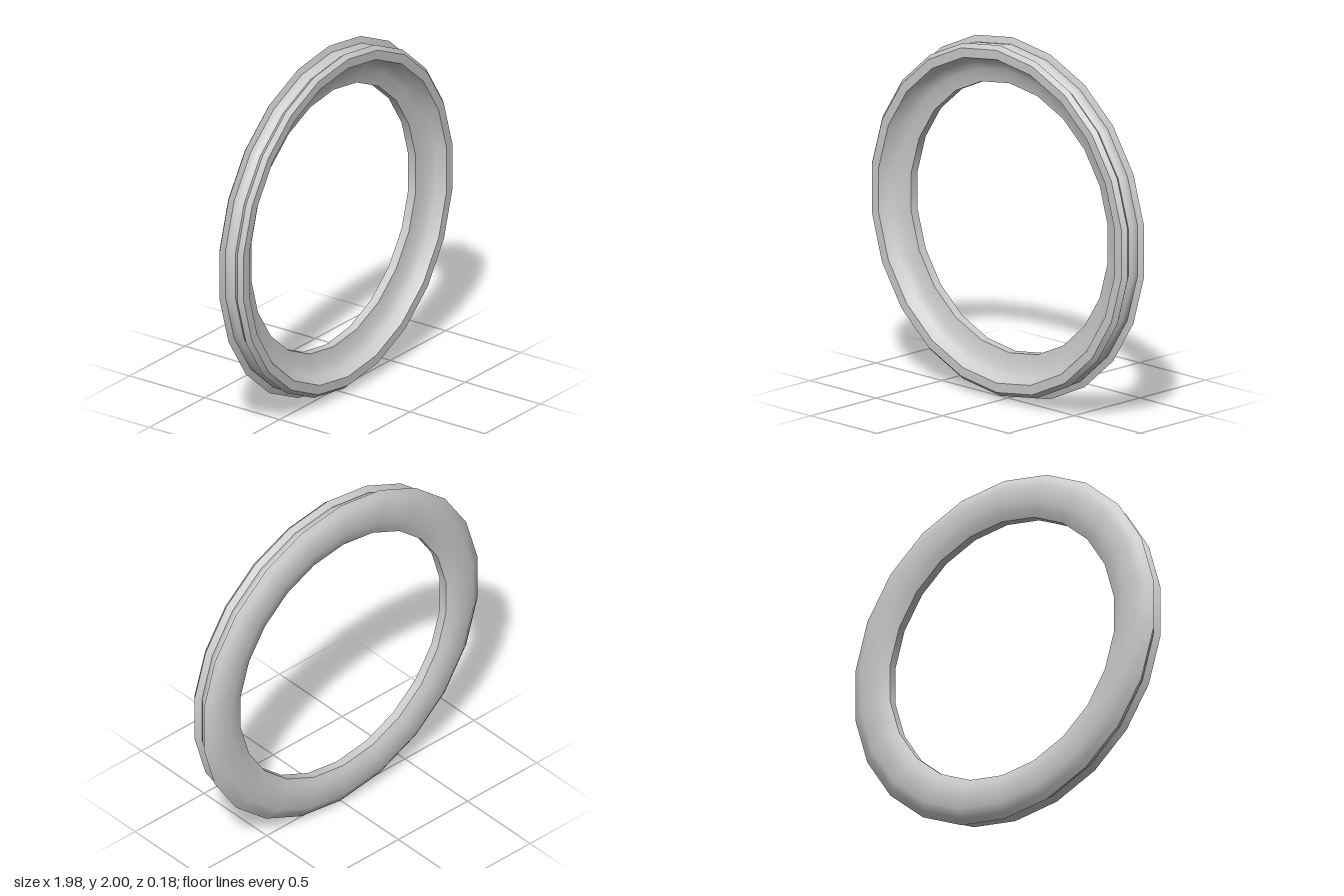
import * as THREE from 'three';

const SIDES = 22;

// Each band is one smooth strip of the ring's section as [radius, z];
// band boundaries are the sharp edges.
const BANDS = {
  backFace: [[0.75, -0.06], [0.79, -0.078], [0.84, -0.089], [0.925, -0.089], [0.97, -0.06], [1, -0.038]],
  rearFlangeFront: [[1, -0.038], [0.964, -0.025]],
  groove: [[0.964, -0.025], [0.967, -0.005], [0.963, 0.012], [0.95, 0.032]],
  frontFlangeRear: [[0.95, 0.032], [0.975, 0.062]],
  frontFlangeBevel: [[0.975, 0.062], [0.952, 0.087]],
  frontRim: [[0.952, 0.087], [0.9, 0.087]],
  innerDish: [[0.9, 0.087], [0.873, 0.035], [0.825, 0.002], [0.75, -0.01]],
  innerEdge: [[0.75, -0.01], [0.75, -0.06]],
};

export function createModel() {
  const ring = new THREE.Group();
  ring.name = 'ring';
  const material = new THREE.MeshStandardMaterial({ color: 0xcccccc });

  for (const [name, section] of Object.entries(BANDS)) {
    const points = section.map(([r, z]) => new THREE.Vector2(r, z));
    const geometry = new THREE.LatheGeometry(points, SIDES);
    geometry.rotateX(Math.PI / 2); // lathe axis to z
    const band = new THREE.Mesh(geometry, material);
    band.name = name;
    ring.add(band);
  }

  ring.position.y = 1;
  const model = new THREE.Group();
  model.add(ring);
  return model;
}
